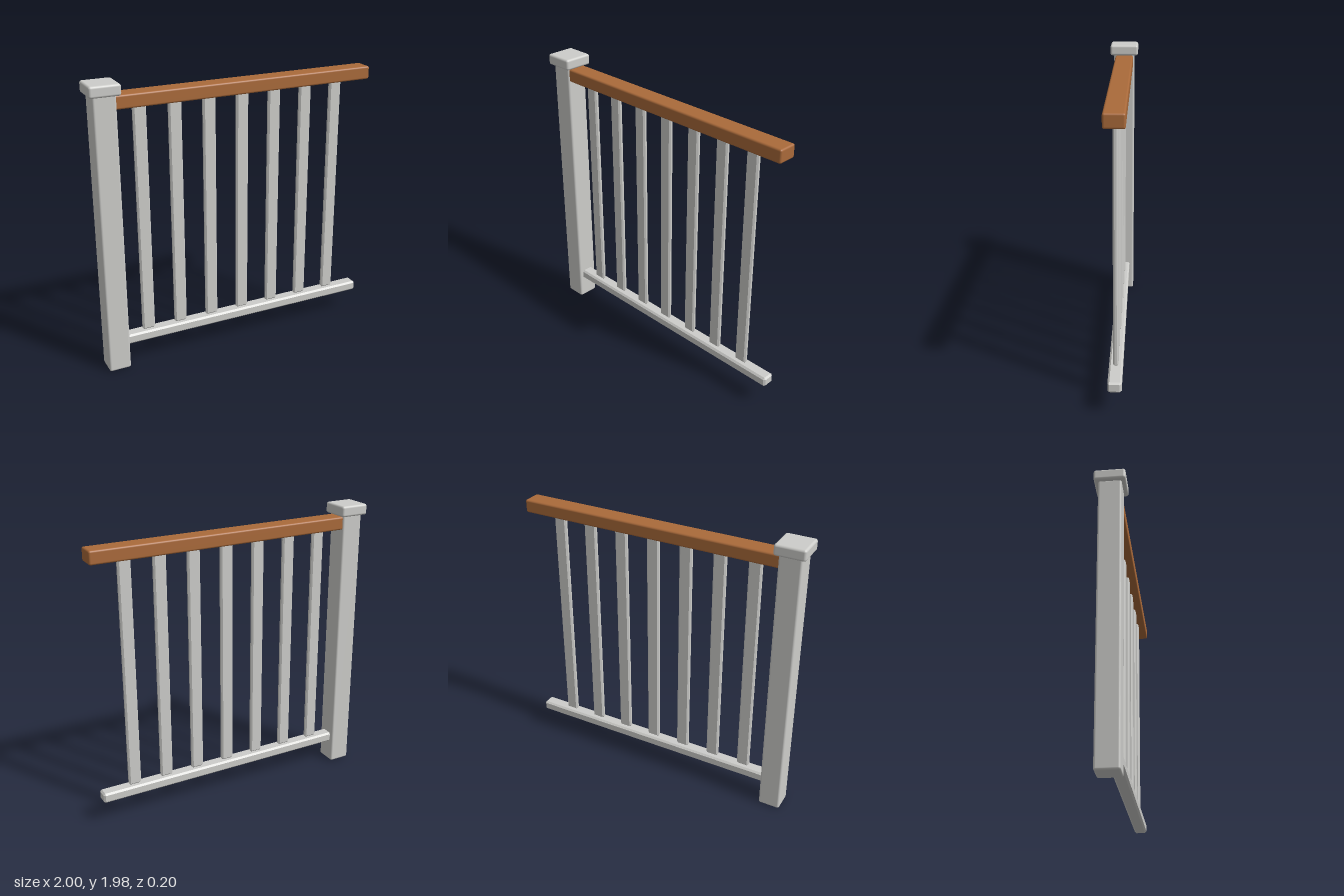
import * as THREE from 'three';
import { RoundedBoxGeometry } from 'three/addons/geometries/RoundedBoxGeometry.js';
import { ConvexGeometry } from 'three/addons/geometries/ConvexGeometry.js';

// Box with flat chamfers of size c on every edge
function chamferBox(w, h, d, c) {
  const points = [];
  for (const x of [-1, 1]) for (const y of [-1, 1]) for (const z of [-1, 1]) {
    const [X, Y, Z] = [w / 2, h / 2, d / 2];
    points.push(
      new THREE.Vector3(x * X, y * (Y - c), z * (Z - c)),
      new THREE.Vector3(x * (X - c), y * Y, z * (Z - c)),
      new THREE.Vector3(x * (X - c), y * (Y - c), z * Z),
    );
  }
  return new ConvexGeometry(points);
}

export function createModel() {
  const model = new THREE.Group();
  model.name = 'railing';

  const paint = new THREE.MeshStandardMaterial({ color: 0xcdcdca });
  paint.name = 'light grey paint';
  const wood = new THREE.MeshStandardMaterial({ color: 0xaa6a3a });
  wood.name = 'brown wood';

  const add = (name, geometry, material, x, y) => {
    const mesh = new THREE.Mesh(geometry, material);
    mesh.name = name;
    mesh.position.set(x, y, 0);
    model.add(mesh);
  };

  // Newel post and its overhanging cap
  const postX = -0.899;
  add('post', new RoundedBoxGeometry(0.15, 1.91, 0.15, 3, 0.014), paint, postX, 0.955);
  add('postCap', new RoundedBoxGeometry(0.203, 0.075, 0.203, 3, 0.016), paint, postX, 1.938);

  // Rails running from the post to the open end
  const railStart = -0.84, railLength = 1 - railStart, railX = (1 + railStart) / 2;
  add('handrail', new RoundedBoxGeometry(railLength, 0.09, 0.13, 3, 0.013), wood, railX, 1.852);
  add('bottomRail', chamferBox(railLength, 0.07, 0.088, 0.012), paint, railX, 0.193);

  // Evenly spaced flat balusters
  const baluster = chamferBox(0.088, 1.577, 0.034, 0.01);
  for (let i = 0; i < 7; i++) {
    add('baluster' + (i + 1), baluster, paint, -0.661 + i * 0.237, 1.018);
  }

  return model;
}
